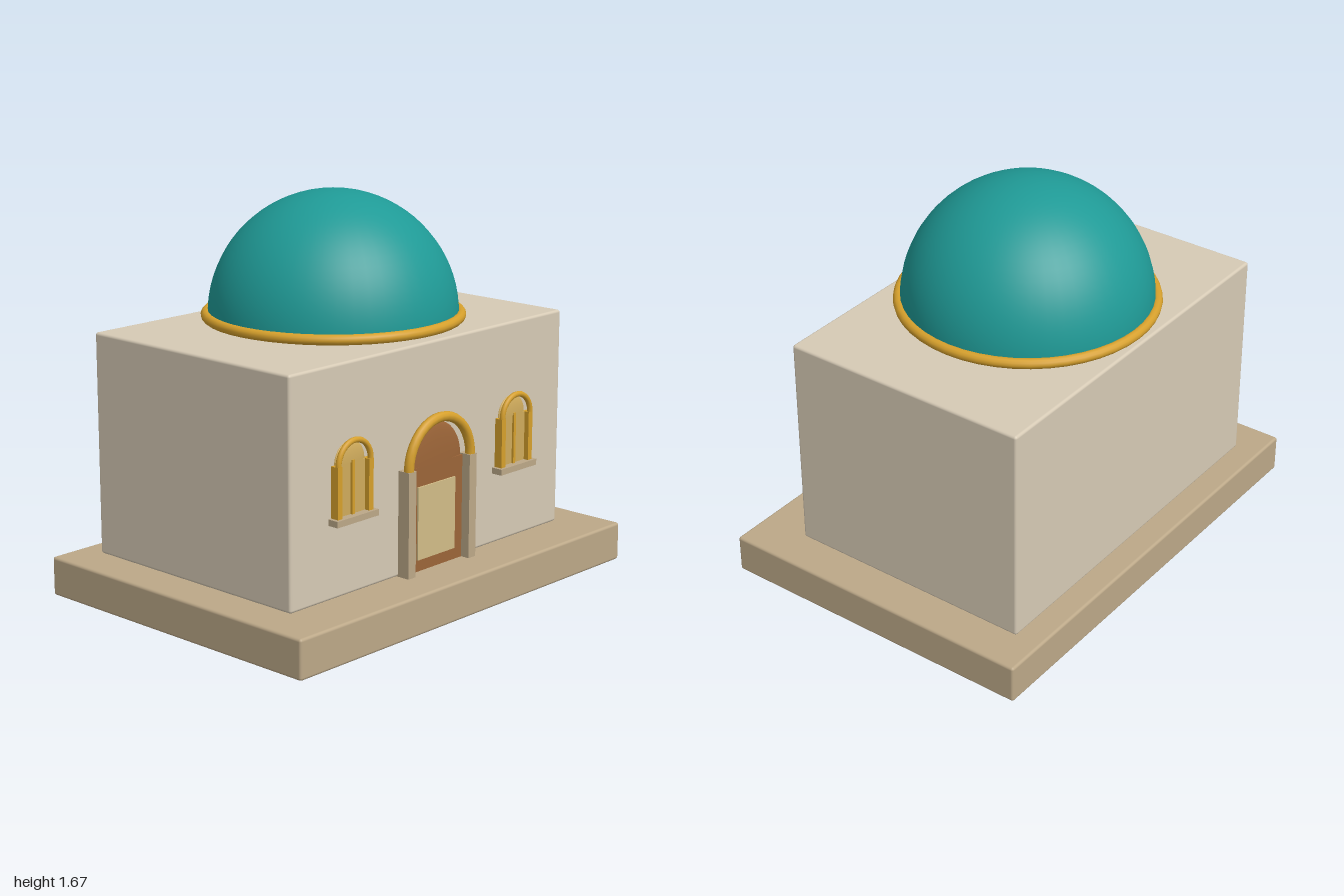
import * as THREE from 'three';
import { RoundedBoxGeometry } from 'three/addons/geometries/RoundedBoxGeometry.js';

const mat = (name, color, side = THREE.FrontSide) => {
  const m = new THREE.MeshStandardMaterial({ color, side });
  m.name = name;
  return m;
};

export function createModel() {
  const wall = mat('plaster', 0xd6cab5);
  const stone = mat('stone', 0xbca888);
  const teal = mat('teal', 0x1f9a96, THREE.DoubleSide);
  const gold = mat('gold', 0xd6a02c);
  const wood = mat('wood', 0x9c6538, THREE.DoubleSide);
  const panel = mat('door panel', 0xd2bd88);
  const pane = mat('window pane', 0xcfab5c, THREE.DoubleSide);

  const model = new THREE.Group();
  model.name = 'domedBuilding';

  const add = (parent, name, geometry, material, x, y, z) => {
    const mesh = new THREE.Mesh(geometry, material);
    mesh.name = name;
    mesh.position.set(x, y, z);
    parent.add(mesh);
    return mesh;
  };
  // Box given by its limits on each axis
  const box = (parent, name, material, [x0, x1], [y0, y1], [z0, z1], radius = 0) => {
    const size = [x1 - x0, y1 - y0, z1 - z0];
    const geometry = radius ? new RoundedBoxGeometry(...size, 2, radius) : new THREE.BoxGeometry(...size);
    return add(parent, name, geometry, material, (x0 + x1) / 2, (y0 + y1) / 2, (z0 + z1) / 2);
  };
  // Shallow bulging half disc that fills an arch
  const archFill = (parent, name, material, r, y, z, depth) => {
    const g = new THREE.SphereGeometry(r, 32, 12, 0, Math.PI * 2, 0, Math.PI / 2);
    add(parent, name, g, material, 0, y, z).scale.z = depth / r;
  };
  const arch = (parent, name, r, tube, y, z) =>
    add(parent, name, new THREE.TorusGeometry(r, tube, 10, 18, Math.PI), gold, 0, y, z);

  // Base and walls
  box(model, 'base', stone, [-1, 1], [0, 0.167], [-0.72, 0.72], 0.012);
  box(model, 'walls', wall, [-0.83, 0.83], [0.167, 1.112], [-0.61, 0.5], 0.012);

  // Dome with its ring, just clear of the roof
  const domeGeometry = new THREE.SphereGeometry(0.525, 48, 20, 0, Math.PI * 2, 0, Math.PI / 2);
  add(model, 'dome', domeGeometry, teal, 0, 1.142, -0.055);
  const ring = add(model, 'domeRing', new THREE.TorusGeometry(0.532, 0.022, 12, 48), gold, 0, 1.147, -0.055);
  ring.rotation.x = Math.PI / 2;

  // Door
  const door = new THREE.Group();
  door.name = 'door';
  model.add(door);
  box(door, 'doorLeaf', wood, [-0.166, 0.166], [0.167, 0.607], [0.49, 0.517]);
  box(door, 'doorPanel', panel, [-0.115, 0.115], [0.217, 0.525], [0.517, 0.524]);
  archFill(door, 'doorArchFill', wood, 0.17, 0.607, 0.5, 0.02);
  arch(door, 'doorArch', 0.19, 0.021, 0.612, 0.538);
  for (const s of [-1, 1]) {
    const x = s * 0.188;
    box(door, 'doorJamb', stone, [x - 0.022, x + 0.022], [0.167, 0.612], [0.49, 0.557]);
  }

  // Two arched windows
  for (const s of [-1, 1]) {
    const win = new THREE.Group();
    win.name = s > 0 ? 'leftWindow' : 'rightWindow';
    win.position.x = s * 0.5;
    model.add(win);
    box(win, 'windowPane', pane, [-0.085, 0.085], [0.5, 0.712], [0.49, 0.515]);
    archFill(win, 'windowArchFill', pane, 0.085, 0.712, 0.5, 0.02);
    arch(win, 'windowArch', 0.092, 0.012, 0.712, 0.53);
    box(win, 'mullion', gold, [-0.007, 0.007], [0.5, 0.722], [0.49, 0.524]);
    for (const t of [-1, 1]) {
      const x = t * 0.089;
      box(win, 'windowPost', gold, [x - 0.013, x + 0.013], [0.5, 0.712], [0.49, 0.537]);
    }
    box(win, 'windowSill', stone, [-0.118, 0.118], [0.476, 0.502], [0.49, 0.55]);
  }
  return model;
}
